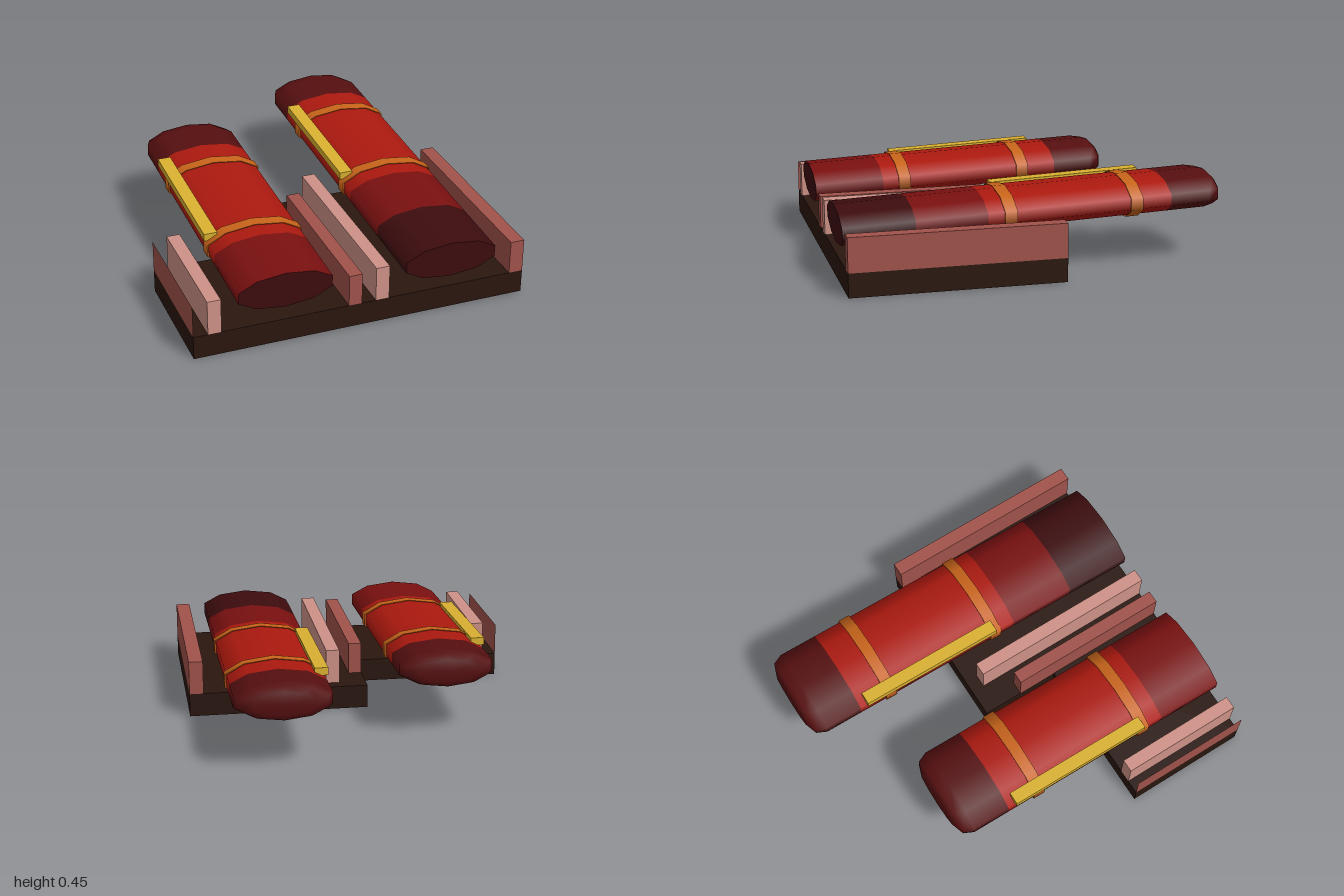
import * as THREE from 'three';

const mat = (color) => new THREE.MeshStandardMaterial({ color, side: THREE.DoubleSide });
const slabMat = mat(0x2a160f), lightRail = mat(0xcd9186), darkRail = mat(0xa0524a);
const bright = mat(0xac190f), deep = mat(0x7a1010), darkest = mat(0x3d0c0e), tail = mat(0x560f10);
const orange = mat(0xc8641a), yellow = mat(0xd9b030);

const RX = 0.258, RY = 0.098;

function add(parent, name, geometry, material) {
  const mesh = new THREE.Mesh(geometry, material);
  mesh.name = name;
  parent.add(mesh);
  return mesh;
}

// box given by its min and max on each axis
function box(parent, name, material, [x0, x1], [y0, y1], [z0, z1]) {
  const m = add(parent, name, new THREE.BoxGeometry(x1 - x0, y1 - y0, z1 - z0), material);
  m.position.set((x0 + x1) / 2, (y0 + y1) / 2, (z0 + z1) / 2);
}

// ten-sided flattened shell along z; profile is [radius ratio, z]
function shell(parent, name, material, profile, grow = 0) {
  const geo = new THREE.LatheGeometry(profile.map(([r, z]) => new THREE.Vector2(r, z)), 10);
  geo.rotateX(Math.PI / 2);
  geo.scale(RX + grow, RY + grow, 1);
  return add(parent, name, geo, material);
}

// tilted pod, measured forward from its rear tip
function pod(name, x, rear, length) {
  const g = new THREE.Group();
  g.name = name;
  g.position.set(x, 0.359, rear);
  g.rotation.x = 0.042;
  shell(g, 'roundedTail', tail, [[0, 0], [0.62, 0], [0.9, 0.025], [1, 0.08], [1, 0.29]]);
  shell(g, 'brightBody', bright, [[1, 0.29], [1, 1.26]]);
  shell(g, 'deepRedBody', deep, [[1, 1.26], [1, Math.min(1.63, length)]]);
  if (length > 1.63) shell(g, 'darkNose', darkest, [[1, 1.63], [1, length]]);
  shell(g, 'frontCap', darkest, [[1, length], [0, length]]);

  // raised straps
  for (const z of [0.445, 1.11]) {
    shell(g, 'strap', orange, [[0.97, z], [1, z], [1, z], [1, z + 0.065], [1, z + 0.065], [0.97, z + 0.065]], 0.01);
  }
  // side bar
  box(g, 'sideBar', yellow, [-0.26, -0.19], [0.04, 0.08], [0.33, 1.14]);
  return g;
}

export function createModel() {
  const model = new THREE.Group();
  model.name = 'podLauncher';

  // stepped base slab
  const outline = new THREE.Shape([
    [-0.89, 1], [-0.89, 0.33], [-0.075, 0.33], [-0.075, -0.11], [0.89, -0.11], [0.89, 1],
  ].map(([x, z]) => new THREE.Vector2(x, z)));
  const slab = new THREE.ExtrudeGeometry(outline, { depth: 0.125, bevelEnabled: false });
  slab.rotateX(Math.PI / 2);
  slab.translate(0, 0.125, 0);
  add(model, 'baseSlab', slab, slabMat);

  // guide rails
  box(model, 'outerRightRail', lightRail, [-0.815, -0.745], [0.125, 0.31], [0.33, 1]);
  box(model, 'innerRightRail', darkRail, [-0.075, -0.005], [0.125, 0.295], [0.11, 1]);
  box(model, 'innerLeftRail', lightRail, [0.07, 0.142], [0.125, 0.31], [-0.04, 1]);
  box(model, 'outerLeftRail', darkRail, [0.815, 0.89], [0.125, 0.305], [-0.11, 1]);

  // thin side wall
  const wall = add(model, 'sideWall', new THREE.PlaneGeometry(0.67, 0.17), darkRail);
  wall.rotation.y = -Math.PI / 2;
  wall.position.set(-0.89, 0.21, 0.665);

  model.add(pod('rightPod', -0.41, -0.63, 1.63));
  model.add(pod('leftPod', 0.48, -1, 2));
  return model;
}
